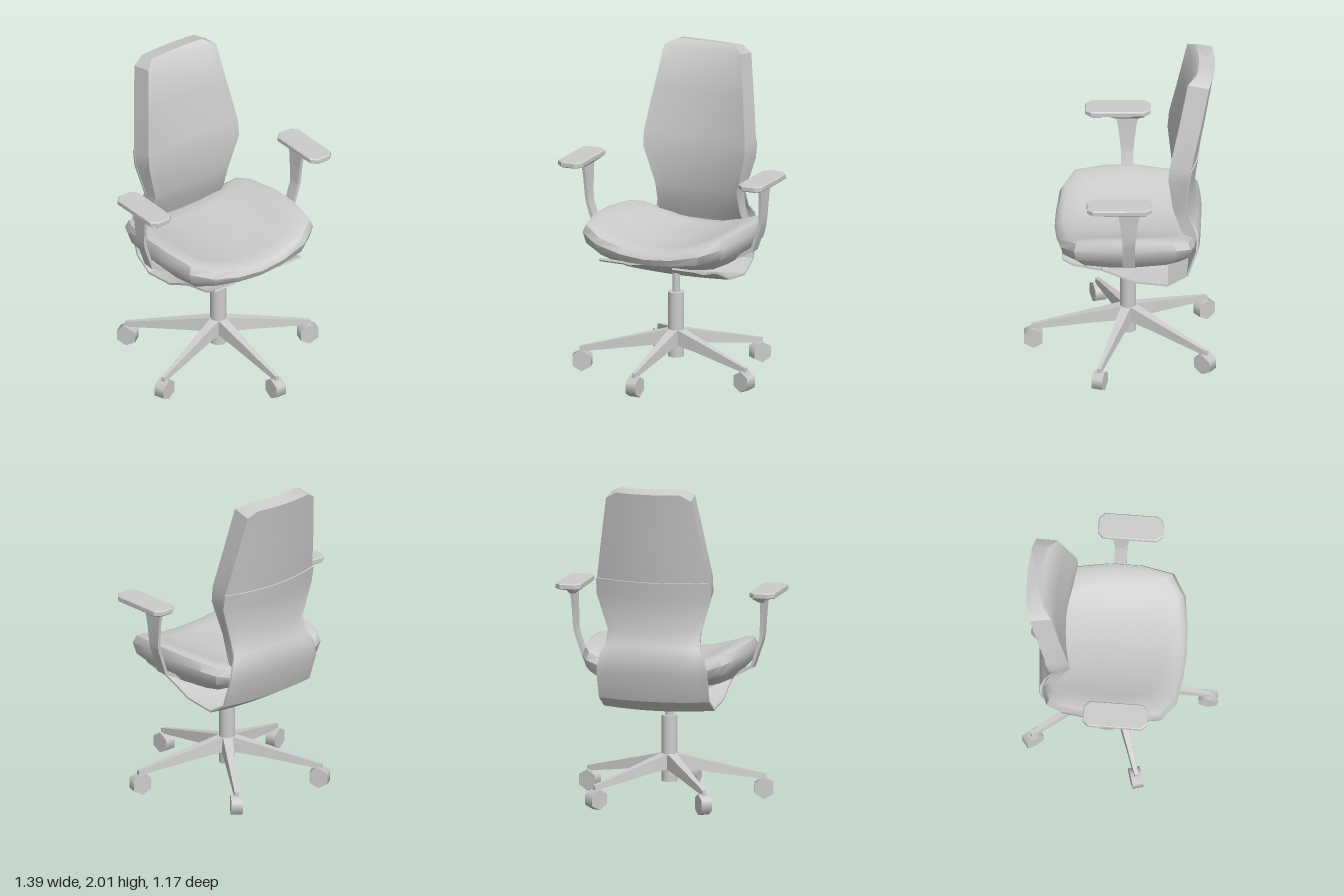
import * as THREE from 'three';
import { toCreasedNormals } from 'three/addons/utils/BufferGeometryUtils.js';

const material = new THREE.MeshStandardMaterial({ color: 0xcccccc });
const AXIS_Z = -0.04; // column and star base sit slightly behind centre

function add(parent, name, geometry) {
  const mesh = new THREE.Mesh(geometry, material);
  mesh.name = name;
  parent.add(mesh);
  return mesh;
}

// Skin a list of equal-length rings of [x, y, z], closing both ends; side -1 mirrors in x
function loft(rings, { side = 1, crease = 0.6 } = {}) {
  const centre = ring => {
    const c = [0, 1, 2].map(k => ring.reduce((sum, p) => sum + p[k], 0) / ring.length);
    return ring.map(() => c);
  };
  let rows = [centre(rings[0]), ...rings, centre(rings[rings.length - 1])];
  if (side < 0) rows = rows.map(r => r.map(([x, y, z]) => [-x, y, z]).reverse());
  const n = rows[0].length;
  const index = [];
  for (let i = 0; i < rows.length - 1; i++) {
    for (let j = 0; j < n; j++) {
      const k = (j + 1) % n;
      const a = i * n + j, b = i * n + k, c = a + n, d = b + n;
      if (i > 0) index.push(a, b, d);
      if (i < rows.length - 2) index.push(a, d, c);
    }
  }
  const geometry = new THREE.BufferGeometry();
  geometry.setAttribute('position', new THREE.Float32BufferAttribute(rows.flat(2), 3));
  geometry.setIndex(index);
  return toCreasedNormals(geometry, crease);
}

// In-plane unit normal of a polyline at point i
function normalAt(points, i) {
  const a = points[Math.max(i - 1, 0)], b = points[Math.min(i + 1, points.length - 1)];
  const du = b[0] - a[0], dv = b[1] - a[1], length = Math.hypot(du, dv);
  return [-dv / length, du / length];
}

// Curved panel following a side profile; rows are [z, y, x0, x1, thickness, curl]
function panel(rows, options = {}) {
  const { inset = 1, steps = 12 } = options;
  const rings = rows.map(([z, y, x0, x1, thickness, curl], i) => {
    const [nz, ny] = normalAt(rows, i);
    const line = (offset, scale) => Array.from({ length: steps + 1 }, (_, j) => {
      const x = (x0 + (x1 - x0) * j / steps) * scale;
      const o = offset + curl * x * x;
      return [x, y + ny * o, z + nz * o];
    });
    return [...line(0, 1), ...line(thickness, inset).reverse()];
  });
  return loft(rings, options);
}

function addSeat(chair) {
  // Half outline [x, z] from back to front
  const half = [[0.17, -0.455], [0.35, -0.445], [0.43, -0.42], [0.475, -0.33], [0.51, -0.1],
    [0.51, 0.1], [0.475, 0.295], [0.35, 0.375], [0.17, 0.4]];
  const outline = [[0, -0.46], ...half, [0, 0.41], ...half.map(([x, z]) => [-x, z]).reverse()];
  // [scale, height, upward sweep towards the sides], top to bottom
  const levels = [[0.2, 0.885, 0.55], [0.45, 0.885, 0.55], [0.7, 0.887, 0.58], [0.88, 0.887, 0.56],
    [0.96, 0.872, 0.5], [1, 0.838, 0.4], [0.96, 0.8, 0.27], [0.8, 0.778, 0]];
  const rings = levels.map(([s, y, k]) =>
    outline.map(([x, z]) => [x * s, y + k * (x * s) ** 2, (z + 0.03) * s - 0.03]));
  add(chair, 'seatCushion', loft(rings, { crease: 0.75 }));
}

function addBack(chair) {
  // [z, y, half width, thickness, curl] down the rear face
  const cushion = [[-0.572, 1.985, 0.2, 0.1, 0.4], [-0.564, 1.945, 0.27, 0.135, 0.4],
    [-0.52, 1.68, 0.315, 0.135, 0.4], [-0.473, 1.415, 0.358, 0.135, 0.4],
    [-0.455, 1.32, 0.358, 0.125, 0.4], [-0.428, 1.11, 0.288, 0.085, 0.4],
    [-0.45, 1.0, 0.29, 0.07, 0.35], [-0.47, 0.9, 0.3, 0.05, 0.2]];
  add(chair, 'backCushion', panel(
    cushion.map(([z, y, w, t, c]) => [z, y, -w, w, t, c]), { inset: 0.96, crease: 0.75 }));

  // Shell wraps the lower back and sweeps forward under the seat
  const shell = [[-0.482, 1.42, 0.362, 0.4], [-0.465, 1.32, 0.362, 0.4], [-0.438, 1.11, 0.294, 0.4],
    [-0.47, 1.02, 0.3, 0.3], [-0.49, 0.965, 0.33, 0.2], [-0.485, 0.85, 0.35, 0.15],
    [-0.42, 0.67, 0.35, 0.15], [-0.285, 0.59, 0.35, 0.15], [-0.07, 0.62, 0.35, 0.1],
    [0.08, 0.695, 0.35, 0.05], [0.13, 0.722, 0.35, 0]];
  add(chair, 'backShell', panel(shell.map(([z, y, w, c]) => [z, y, -w, w, 0.013, c])));

  // Two prongs carry the shell to the front of the seat
  const prong = [[0.13, 0.722, 0.1, 0.35, 0.013, 0], [0.3, 0.757, 0.15, 0.35, 0.013, 0],
    [0.365, 0.785, 0.17, 0.33, 0.013, 0]];
  for (const side of [1, -1]) {
    add(chair, side > 0 ? 'leftShellProng' : 'rightShellProng', panel(prong, { side, steps: 4 }));
  }
}

function addArm(chair, side) {
  const arm = new THREE.Group();
  arm.name = side > 0 ? 'leftArmrest' : 'rightArmrest';
  chair.add(arm);

  // Flat support strip: [x, y, half depth]
  const path = [[0.602, 1.275, 0.07], [0.598, 1.2, 0.055], [0.592, 1.06, 0.04], [0.586, 1.02, 0.038],
    [0.53, 0.855, 0.038], [0.36, 0.768, 0.038], [0.22, 0.705, 0.038], [0, 0.698, 0.038]];
  add(arm, 'armSupport', loft(path.map(([x, y, d], i) => {
    const [nx, ny] = normalAt(path, i).map(v => v * 0.01);
    return [[x - nx, y - ny, AXIS_Z - d], [x + nx, y + ny, AXIS_Z - d],
      [x + nx, y + ny, AXIS_Z + d], [x - nx, y - ny, AXIS_Z + d]];
  }), { side, crease: 0.3 }));

  // Flared bracket under the pad
  const box = (x0, x1, z0, z1, y) => [[x0, y, z0], [x1, y, z0], [x1, y, z1], [x0, y, z1]];
  add(arm, 'padBracket', loft([box(0.55, 0.625, -0.145, 0.07, 1.3), box(0.55, 0.625, -0.145, 0.07, 1.29),
    box(0.585, 0.615, -0.11, 0.03, 1.262)], { side, crease: 0.3 }));

  // Pad with clipped corners
  const octagon = (inset, y) => {
    const a = 0.08 - inset, b = 0.2 - inset, c = 0.035;
    return [[c - a, -b], [a - c, -b], [a, c - b], [a, b - c], [a - c, b], [c - a, b], [-a, b - c], [-a, c - b]]
      .map(([x, z]) => [x + 0.615, y, z + 0.018]);
  };
  add(arm, 'armPad', loft([octagon(0.006, 1.332), octagon(0, 1.326), octagon(0, 1.302), octagon(0.006, 1.296)],
    { side, crease: 0.3 }));
}

function addBase(chair) {
  const base = new THREE.Group();
  base.name = 'base';
  base.position.z = AXIS_Z;
  chair.add(base);

  const cylinder = (name, radius, y0, y1) =>
    add(base, name, new THREE.CylinderGeometry(radius, radius, y1 - y0, 20).translate(0, (y0 + y1) / 2, 0));
  cylinder('column', 0.05, 0.115, 0.525);
  cylinder('gasLift', 0.024, 0.5, 0.785);

  // Tapered leg section at distance z
  const section = (z, w, low, high) => [[-w, low, z], [w, low, z], [w * 0.8, high, z], [-w * 0.8, high, z]];
  const leg = loft([section(0, 0.04, 0.2, 0.3), section(0.2, 0.031, 0.178, 0.25),
    section(0.595, 0.014, 0.12, 0.153)], { crease: 0.3 });
  const wheel = new THREE.CylinderGeometry(0.066, 0.066, 0.07, 6).rotateY(Math.PI / 6).rotateZ(Math.PI / 2);
  const stem = new THREE.CylinderGeometry(0.014, 0.014, 0.06, 8);

  for (let i = 0; i < 5; i++) {
    const spoke = new THREE.Group();
    spoke.name = 'spoke' + (i + 1);
    spoke.rotation.y = i * Math.PI * 2 / 5;
    base.add(spoke);
    add(spoke, 'leg', leg);
    add(spoke, 'caster', wheel).position.set(0, 0.066, 0.58);
    add(spoke, 'casterStem', stem).position.set(0, 0.12, 0.575);
  }
}

export function createModel() {
  const chair = new THREE.Group();
  chair.name = 'officeChair';
  addSeat(chair);
  addBack(chair);
  for (const side of [1, -1]) addArm(chair, side);
  addBase(chair);
  return chair;
}
